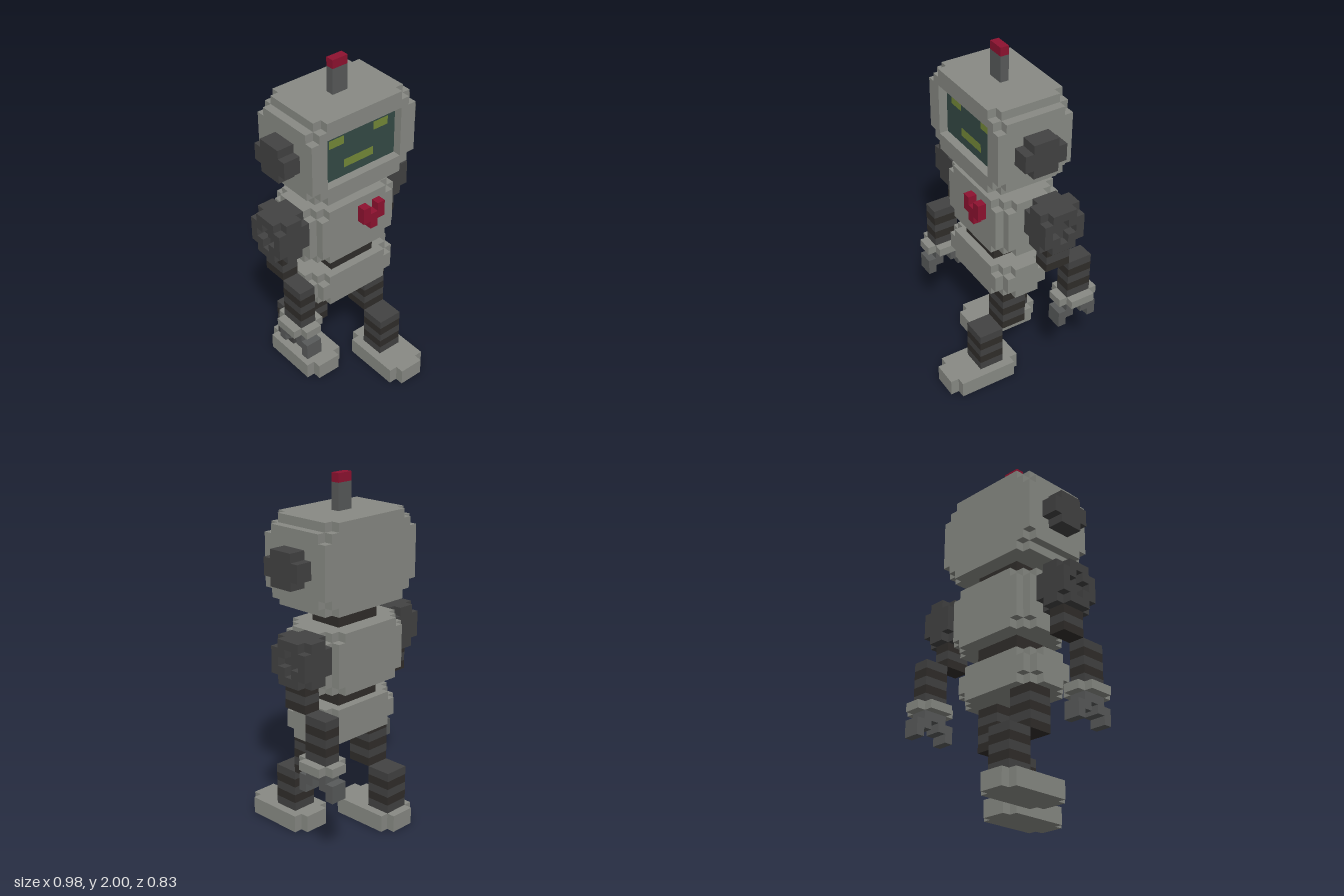
import * as THREE from 'three';

// Grid unit; cells run x -10..10, y 0..41, z 0..17 (z is recentred when meshing)
const U = 2 / 41;
const GREY = 0x888a84, DARK = 0x424242, BLACK = 0x302d2a, METAL = 0x585a5a;
const RED = 0x8e1230, GLASS = 0x344a46, GREEN = 0x758a38;

// Six cube faces: outward normal and two in-plane axes with u x v = normal
const FACES = [
  [[1, 0, 0], [0, 1, 0], [0, 0, 1]], [[-1, 0, 0], [0, 0, 1], [0, 1, 0]],
  [[0, 1, 0], [0, 0, 1], [1, 0, 0]], [[0, -1, 0], [1, 0, 0], [0, 0, 1]],
  [[0, 0, 1], [1, 0, 0], [0, 1, 0]], [[0, 0, -1], [0, 1, 0], [1, 0, 0]],
];

export function createModel() {
  const cells = new Map();
  const colors = {};

  // Fill a block of cells; keep(dx, dy, dz) gets the distance to the nearest block end on each axis
  function fill(name, color, [x0, x1], [y0, y1], [z0, z1], keep = () => true) {
    colors[name] = color;
    for (let x = x0; x < x1; x++)
      for (let y = y0; y < y1; y++)
        for (let z = z0; z < z1; z++) {
          const d = [Math.min(x - x0, x1 - 1 - x), Math.min(y - y0, y1 - 1 - y), Math.min(z - z0, z1 - 1 - z)];
          if (keep(...d)) cells.set([x, y, z].join(), name);
        }
  }
  function carve(xs, ys, zs) {
    for (let x = xs[0]; x < xs[1]; x++)
      for (let y = ys[0]; y < ys[1]; y++)
        for (let z = zs[0]; z < zs[1]; z++) cells.delete([x, y, z].join());
  }
  // Limb with alternating one-cell bands
  function striped(name, xs, [y0, y1], zs) {
    for (let y = y0; y < y1; y++)
      fill(name + (y % 2 ? 'DarkBands' : 'LightBands'), y % 2 ? BLACK : DARK, xs, [y, y + 1], zs);
  }
  const roundAlongZ = (dx, dy, dz) => dx + dy >= (dz === 0 ? 2 : 1);
  const roundAlongY = (dx, dy, dz) => dx + dz >= (dy === 0 ? 2 : 1);
  const cutUpright = (dx, dy, dz) => dx + dz >= 1;

  // Head with recessed screen face
  fill('head', GREY, [-7, 7], [27, 37], [3, 12], roundAlongZ);
  carve([-5, 5], [29, 35], [11, 12]);
  fill('screen', GLASS, [-5, 5], [29, 35], [10, 11]);
  fill('mouth', GREEN, [-2, 2], [30, 31], [10, 11]);
  fill('antenna', METAL, [-1, 1], [37, 40], [7, 8]);
  fill('antennaTip', RED, [-1, 1], [40, 41], [7, 8]);

  // Body
  fill('neck', BLACK, [-3, 3], [25, 27], [5, 9]);
  fill('torso', GREY, [-6, 6], [18, 25], [3, 11], roundAlongY);
  fill('waist', BLACK, [-3, 3], [16, 18], [5, 10]);
  fill('pelvis', GREY, [-6, 6], [12, 16], [4, 11], roundAlongY);

  // Heart on the chest
  fill('heart', RED, [0, 3], [22, 23], [11, 12]);
  fill('heart', RED, [1, 2], [21, 22], [11, 12]);
  for (const x of [0, 2]) fill('heart', RED, [x, x + 1], [23, 24], [11, 12]);

  // Paired parts; the walking pose shifts each side in depth
  for (const s of [1, -1]) {
    const left = s > 0, side = left ? 'left' : 'right';
    const X = (a, b) => (left ? [a, b] : [-b, -a]);
    const Z = (start, length) => [start, start + length];

    fill(side + 'Eye', GREEN, X(2, 4), [33, 34], [10, 11]);
    fill(side + 'Ear', DARK, X(7, 9), [30, 34], [5, 10], (dx, dy, dz) => dy + dz >= 1);

    // Shoulder with a cross-shaped recess
    const sh = left ? 3 : 5;
    fill(side + 'Shoulder', DARK, X(6, 10), [20, 25], Z(sh, 5), (dx, dy, dz) => dx + dy + dz >= 1);
    carve(X(9, 10), [21, 24], Z(sh + 2, 1));
    carve(X(9, 10), [22, 23], Z(sh + 1, 3));

    // Arm
    striped(side + 'UpperArm', X(7, 9), [17, 20], Z(sh + 1, 3));
    const h = left ? 0 : 8;
    striped(side + 'Forearm', X(7, 9), [12, 17], Z(h + 1, 3));
    fill(side + 'Wrist', GREY, X(6, 10), [11, 12], Z(h, 5), cutUpright);

    // Claw hand
    fill(side + 'Hand', METAL, X(7, 9), [10, 11], Z(h + 1, 3));
    for (const f of [0, 3]) fill(side + 'Hand', METAL, X(7, 9), [9, 10], Z(h + f, 2));
    for (const f of [0, 4]) fill(side + 'Hand', METAL, X(7, 9), [8, 9], Z(h + f, 1));

    // Leg
    striped(side + 'Thigh', X(2, 5), [7, 12], Z(left ? 7 : 5, 3));
    striped(side + 'Shin', X(2, 5), [2, 7], Z(left ? 10 : 2, 3));
    fill(side + 'Foot', GREY, X(1, 6), [0, 2], Z(left ? 8 : 1, 9), cutUpright);
  }

  // Mesh the exposed cell faces of each part
  const positions = {};
  for (const [key, name] of cells) {
    const c = key.split(',').map(Number);
    const out = (positions[name] ??= []);
    for (const [n, u, v] of FACES) {
      if (cells.has(c.map((k, i) => k + n[i]).join())) continue;
      const corner = (a, b) => c.map((k, i) =>
        (k + 0.5 + (n[i] + a * u[i] + b * v[i]) / 2 - (i === 2 ? 8.5 : 0)) * U);
      const [p, q, r, t] = [corner(-1, -1), corner(1, -1), corner(1, 1), corner(-1, 1)];
      out.push(...p, ...q, ...r, ...p, ...r, ...t);
    }
  }
  const group = new THREE.Group();
  group.name = 'robot';
  for (const [name, points] of Object.entries(positions)) {
    if (!points.length) continue;
    const geometry = new THREE.BufferGeometry();
    geometry.setAttribute('position', new THREE.Float32BufferAttribute(points, 3));
    geometry.computeVertexNormals();
    const mesh = new THREE.Mesh(geometry, new THREE.MeshStandardMaterial({ color: colors[name] }));
    mesh.name = name;
    group.add(mesh);
  }
  return group;
}
